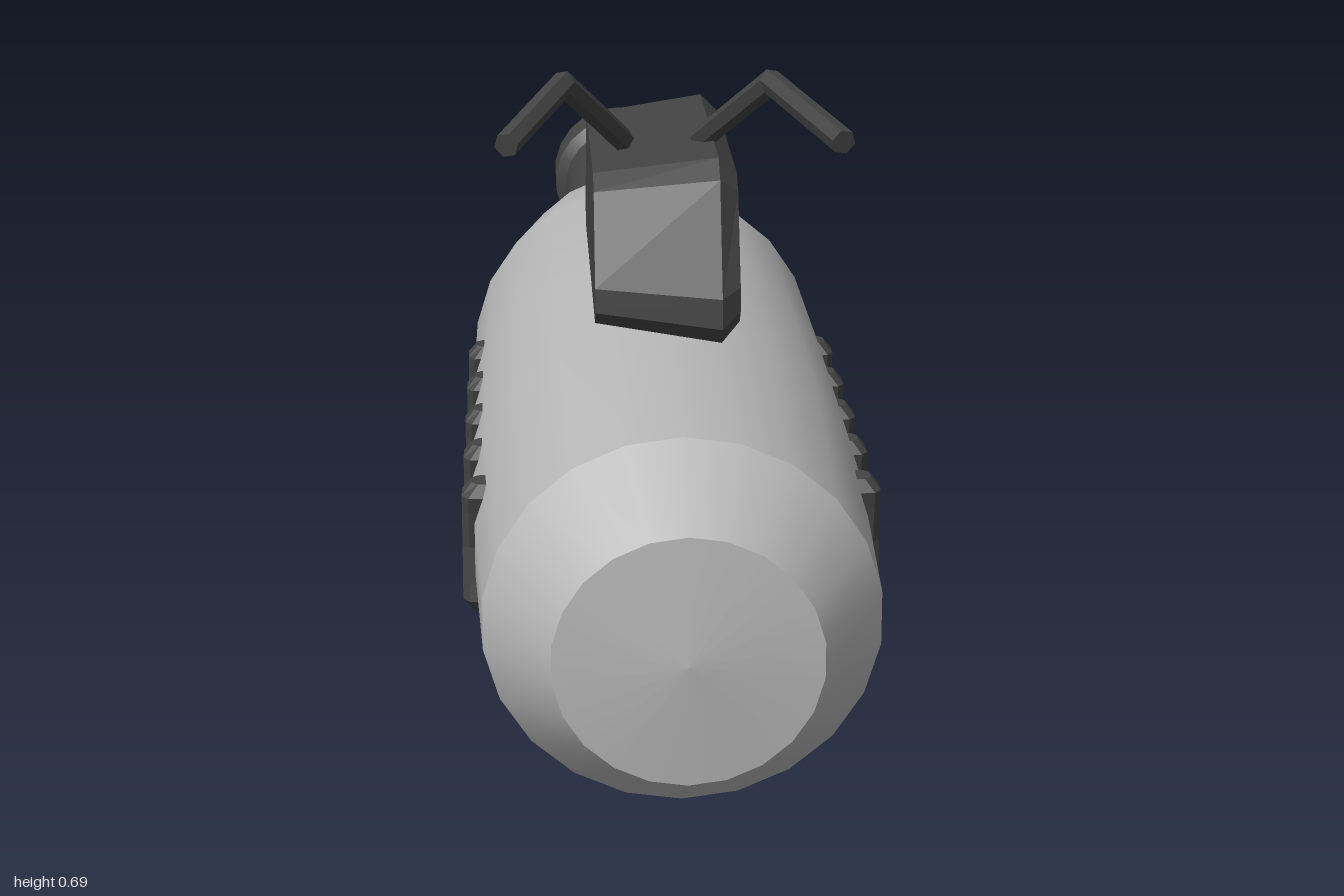
import * as THREE from 'three';

const lightGrey = new THREE.MeshStandardMaterial({ color: 0xb8b8b8 });
lightGrey.name = 'light grey shell';
const darkGrey = new THREE.MeshStandardMaterial({ color: 0x444444 });
darkGrey.name = 'dark grey metal';

const AXIS_Y = 0.209;

// Turned part along z; each run of [radius, z] points is smooth, with sharp edges between runs
function turned(name, material, runs, sides, squash = 1) {
  const group = new THREE.Group();
  group.name = name;
  for (const run of runs) {
    const geo = new THREE.LatheGeometry(run.map(([r, z]) => new THREE.Vector2(r, z)), sides);
    geo.rotateX(Math.PI / 2);
    geo.scale(1, squash, 1);
    geo.translate(0, AXIS_Y, 0);
    const mesh = new THREE.Mesh(geo, material);
    mesh.name = name + 'Section';
    group.add(mesh);
  }
  return group;
}

// Flat-shaded closed solid through convex rings of equal point count
function loft(name, material, rings) {
  const tris = [];
  const n = rings[0].length;
  for (let i = 0; i < rings.length - 1; i++) {
    for (let j = 0; j < n; j++) {
      const k = (j + 1) % n;
      const a = rings[i][j], b = rings[i][k], c = rings[i + 1][k], d = rings[i + 1][j];
      tris.push([a, b, c], [a, c, d]);
    }
  }
  const first = rings[0], last = rings[rings.length - 1];
  for (let j = 1; j < n - 1; j++) {
    tris.push([first[0], first[j + 1], first[j]], [last[0], last[j], last[j + 1]]);
  }
  // Turn the faces outward whichever way the rings run
  const volume = tris.reduce((sum, [a, b, c]) => sum + a.dot(b.clone().cross(c)), 0);
  const points = tris.flatMap(([a, b, c]) => (volume < 0 ? [a, c, b] : [a, b, c]));
  const geo = new THREE.BufferGeometry().setFromPoints(points);
  geo.computeVertexNormals();
  const mesh = new THREE.Mesh(geo, material);
  mesh.name = name;
  return mesh;
}

const V = (x, y, z) => new THREE.Vector3(x, y, z);

// Six-sided bent rod with mitred joints
function rod(name, path, radius) {
  const dirs = path.slice(1).map((p, i) => p.clone().sub(path[i]).normalize());
  const normal = dirs[0].clone().cross(dirs[1]).normalize();
  const rings = path.map((p, i) => {
    const d0 = dirs[Math.max(i - 1, 0)], d1 = dirs[Math.min(i, dirs.length - 1)];
    const tangent = d0.clone().add(d1).normalize();
    const side = tangent.clone().cross(normal).multiplyScalar(radius / tangent.dot(d0));
    return Array.from({ length: 6 }, (_, j) => {
      const a = (j / 6) * Math.PI * 2;
      return p.clone().addScaledVector(normal, Math.cos(a) * radius).addScaledVector(side, Math.sin(a));
    });
  });
  return loft(name, darkGrey, rings);
}

// Bone-shaped side vent: [height, half width, outer x]
function vent(name, z, side) {
  const steps = [
    [0.139, 0.014, 0.208], [0.152, 0.022, 0.218], [0.17, 0.018, 0.218], [0.209, 0.012, 0.218],
    [0.248, 0.018, 0.218], [0.266, 0.022, 0.218], [0.279, 0.014, 0.208],
  ];
  return loft(name, darkGrey, steps.map(([y, w, x]) => [
    V(side * 0.18, y, z - w), V(side * (x - 0.007), y, z - w), V(side * x, y, z - w * 0.55),
    V(side * x, y, z + w * 0.55), V(side * (x - 0.007), y, z + w), V(side * 0.18, y, z + w),
  ]));
}

export function createModel() {
  const model = new THREE.Group();
  model.name = 'model';

  // Tapered shell with a blunt nose and open tail rim
  model.add(turned('body', lightGrey, [
    [[0.04, -0.425], [0.092, -0.43]],
    [[0.092, -0.43], [0.162, -0.315], [0.213, -0.04], [0.2145, 0.27], [0.213, 0.56], [0.197, 0.885]],
    [[0.197, 0.885], [0.131, 0.988]],
    [[0.131, 0.988], [0, 1]],
  ], 22, 0.96));

  // Rear tube and its collar with a small bore
  model.add(turned('barrel', darkGrey, [[[0.084, -0.92], [0.084, -0.4]]], 22));
  model.add(turned('muzzle', darkGrey, [
    [[0, -0.94], [0.034, -0.94]],
    [[0.034, -0.94], [0.034, -1]],
    [[0.034, -1], [0.087, -1]],
    [[0.087, -1], [0.1, -0.985]],
    [[0.1, -0.985], [0.1, -0.905]],
    [[0.1, -0.905], [0.083, -0.89]],
  ], 22));

  // Top block: wedge profile [z, y] lofted across x, bevelled on the left side
  const profile = [
    [0.618, 0.41], [0.632, 0.428], [0.63, 0.46], [0.578, 0.575], [0.55, 0.593],
    [0.235, 0.593], [0.212, 0.575], [0.163, 0.46], [0.16, 0.428], [0.178, 0.41],
  ];
  const sections = [[-0.077, 0.92, 0.8], [0.055, 1, 1], [0.075, 0.92, 0.8]];
  model.add(loft('topBlock', darkGrey, sections.map(([x, sz, sy]) =>
    profile.map(([z, y]) => V(x, 0.5 + (y - 0.5) * sy, 0.395 + (z - 0.395) * sz)))));

  // Mirrored antennae and rows of vents
  for (const side of [1, -1]) {
    const label = side > 0 ? 'left' : 'right';
    model.add(rod(label + 'Antenna', [
      V(side * 0.042, 0.59, 0.45), V(side * 0.108, 0.677, 0.565), V(side * 0.167, 0.65, 0.728),
    ], 0.013));
    [0.665, 0.545, 0.425, 0.305, 0.182].forEach((z, i) =>
      model.add(vent(`${label}Vent${i + 1}`, z, side)));
  }
  return model;
}
